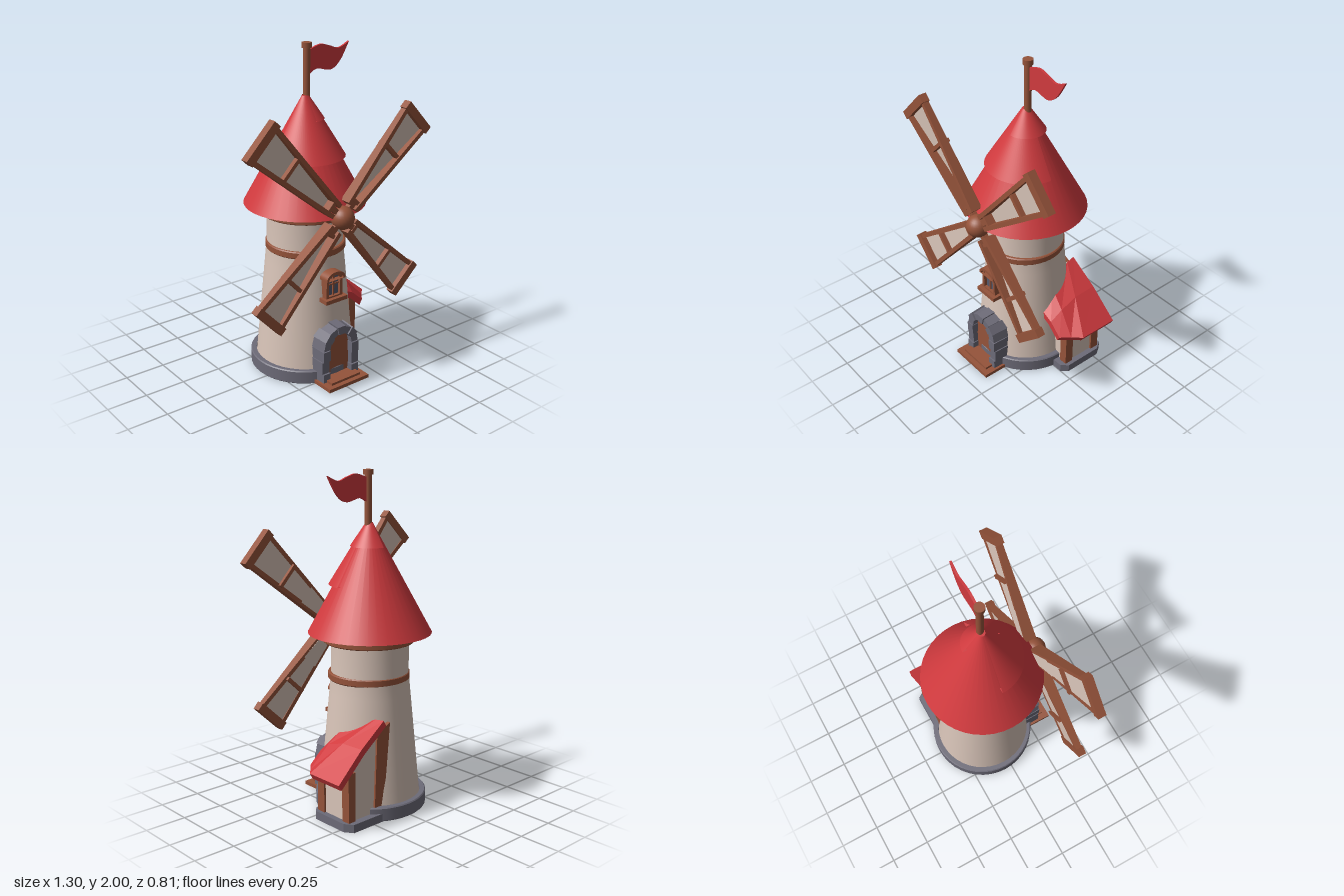
import * as THREE from 'three';

const mat = (name, color, side = THREE.FrontSide) => {
  const m = new THREE.MeshStandardMaterial({ color, side });
  m.name = name;
  return m;
};
const lerp = THREE.MathUtils.lerp;

export function createModel() {
  const plaster = mat('plaster', 0xd8c4b8, THREE.DoubleSide);
  const red = mat('red roof', 0xd03a3e, THREE.DoubleSide);
  const wood = mat('wood', 0x95533a);
  const stone = mat('stone', 0x6d6b78, THREE.DoubleSide);
  const glass = mat('window glass', 0x565a6c);

  const model = new THREE.Group();
  model.name = 'windmill';
  const CX = 0.016, CZ = -0.04;

  const add = (name, geo, material, x = 0, y = 0, z = 0, parent = model) => {
    const m = new THREE.Mesh(geo, material);
    m.name = name;
    m.position.set(x, y, z);
    parent.add(m);
    return m;
  };
  // box given by its limits
  const box = (name, material, x0, x1, y0, y1, z0, z1, parent = model) =>
    add(name, new THREE.BoxGeometry(x1 - x0, y1 - y0, z1 - z0), material,
      (x0 + x1) / 2, (y0 + y1) / 2, (z0 + z1) / 2, parent);
  // unit box with every corner moved by a rule
  const warpBox = (rule) => {
    const g = new THREE.BoxGeometry(1, 1, 1), p = g.attributes.position;
    for (let i = 0; i < p.count; i++) p.setXYZ(i, ...rule(p.getX(i), p.getY(i), p.getZ(i)));
    g.computeVertexNormals();
    return g;
  };
  const lathe = (pts) => new THREE.LatheGeometry(pts.map(([r, y]) => new THREE.Vector2(r, y)), 40);
  const extrude = (shape, depth) =>
    new THREE.ExtrudeGeometry(shape, { depth, bevelEnabled: false, curveSegments: 14 });
  const poly = (pts) => new THREE.Shape(pts.map(([x, y]) => new THREE.Vector2(x, y)));
  // door or window outline: straight sides and an arched top
  const arch = (w, y0, spring, rise, C = THREE.Shape) => {
    const s = new C();
    s.moveTo(-w, y0);
    s.lineTo(w, y0);
    s.lineTo(w, spring);
    s.absellipse(0, spring, w, rise, 0, Math.PI, false);
    s.lineTo(-w, y0);
    return s;
  };

  // Tower, open underneath
  add('tower', lathe([[0.308, 0.01], [0.3, 0.09], [0.266, 0.45], [0.242, 0.7], [0.231, 0.82], [0.23, 1.04]]),
    plaster, CX, 0, CZ);
  const ring = (r0, r1, y0, y1, b) =>
    lathe([[r0, y0], [r1 - b, y0], [r1 - b, y0], [r1, y0 + b], [r1, y0 + b], [r1, y1 - b], [r1, y1 - b],
      [r1 - b, y1], [r1 - b, y1], [r0, y1]]);
  add('towerFoot', ring(0.3, 0.334, 0, 0.085, 0.006), stone, CX, 0, CZ - 0.008);
  add('towerBelt', ring(0.22, 0.243, 0.78, 0.825, 0.006), wood, CX, 0, -0.032);
  add('roofCollar', ring(0.22, 0.273, 1.005, 1.065, 0.006), wood, CX, 0, -0.032);

  // Conical roof with overlapping partial layers
  const cone = (name, r, y0, rTop, yTop, start, length) =>
    add(name, new THREE.CylinderGeometry(rTop, r, yTop - y0, 40, 1, false, start, length),
      red, CX, (y0 + yTop) / 2, CZ);
  cone('roof', 0.365, 1.06, 0.018, 1.695, 0, Math.PI * 2);
  cone('roofMiddleLayer', 0.24, 1.345, 0.022, 1.7, -Math.PI / 2, Math.PI * 0.98);
  cone('roofTopLayer', 0.115, 1.565, 0.024, 1.7, 0, Math.PI);

  // Flagpole and flag
  add('flagpole', new THREE.CylinderGeometry(0.021, 0.021, 0.32, 16), wood, 0.03, 1.83, CZ);
  add('flagpoleCap', new THREE.CylinderGeometry(0.03, 0.03, 0.03, 16), wood, 0.03, 1.985, CZ);
  const flag = new THREE.Shape();
  flag.moveTo(0.04, 1.815);
  flag.splineThru([[0.1, 1.842], [0.2, 1.825], [0.27, 1.87], [0.335, 1.974]].map((p) => new THREE.Vector2(...p)));
  flag.splineThru([[0.26, 1.945], [0.19, 1.965], [0.125, 1.979], [0.04, 1.955]].map((p) => new THREE.Vector2(...p)));
  add('flag', extrude(flag, 0.014), red, 0, 0, CZ - 0.007);

  // Hub and four sails of uneven length
  const axle = add('axle', new THREE.CylinderGeometry(0.055, 0.055, 0.14, 20), wood, CX, 1.057, 0.25);
  axle.rotation.x = Math.PI / 2;
  add('hub', new THREE.SphereGeometry(0.069, 24, 16), wood, CX, 1.057, 0.315);
  [[43.2, 0.735], [135.8, 0.775], [222.9, 0.716], [313.5, 0.69]].forEach(([deg, len]) => {
    const blade = new THREE.Group();
    blade.name = 'blade';
    blade.position.set(CX, 1.057, 0);
    blade.rotation.z = THREE.MathUtils.degToRad(deg - 90);
    model.add(blade);
    const tipW = len * 0.14;
    const half = (t) => lerp(0.036, tipW, t);
    for (const s of [-1, 1]) {
      add('bladeRail', warpBox((x, y, z) => {
        const t = y + 0.5;
        return [s * half(t) + x * 0.026, lerp(0.08, len, t), z > 0 ? 0.337 : lerp(0.265, 0.3, t)];
      }), wood, 0, 0, 0, blade);
    }
    add('sailCloth', warpBox((x, y, z) => {
      const t = y + 0.5;
      return [x * 2 * half(t), lerp(0.11, len, t), lerp(0.268, 0.31, t) + z * 0.008];
    }), plaster, 0, 0, 0, blade);
    box('bladeTip', wood, -tipW - 0.02, tipW + 0.02, len - 0.025, len + 0.025, 0.295, 0.345, blade);
    for (const t of [0.06, 0.62]) {
      const y = lerp(0.08, len, t), w = half(t);
      box('bladeCrossbar', wood, -w, w, y - 0.011, y + 0.011, 0.27, 0.328, blade);
    }
    box('bladeSpoke', wood, -0.016, 0.016, 0.02, 0.13, 0.29, 0.325, blade);
  });

  // Doorway
  const door = new THREE.Group();
  door.name = 'doorway';
  door.position.x = CX;
  model.add(door);
  add('door', extrude(arch(0.088, 0.02, 0.235, 0.09), 0.06), wood, 0, 0, 0.222, door);
  const N = 7, jitter = [0, 0.006, -0.004, 0.004, -0.003, 0.005, 0];
  for (let i = 0; i < N; i++) {
    add('archStone', warpBox((x, y, z) => {
      const a = Math.PI * (1 - (i + 0.5 + x * 0.97) / N);
      const r = y > 0 ? 0.138 + jitter[i] - (z > 0 ? 0.008 : 0) : 0.082;
      return [Math.cos(a) * r, 0.235 + Math.sin(a) * r, z > 0 ? 0.318 + jitter[i] : 0.2];
    }), stone, 0, 0, 0, door);
  }
  for (const s of [-1, 1]) {
    [[0, 0.085], [0.085, 0.165], [0.165, 0.235]].forEach(([y0, y1], i) => {
      const e = (i % 2) * 0.008;
      add('jambStone', warpBox((x, y, z) => [
        s * 0.108 + x * (z > 0 ? 0.052 : 0.06) + s * e * 0.5,
        lerp(y0, y1 - 0.003, y + 0.5), z > 0 ? 0.322 - e : 0.18]), stone, 0, 0, 0, door);
    });
  }
  box('lowerStep', wood, -0.15, 0.15, 0.005, 0.027, 0.24, 0.4, door);
  box('upperStep', wood, -0.11, 0.11, 0.027, 0.042, 0.24, 0.37, door);

  // Arched window
  const win = new THREE.Group();
  win.name = 'window';
  win.position.x = CX;
  model.add(win);
  const frame = arch(0.06, 0.535, 0.655, 0.036);
  frame.holes.push(arch(0.042, 0.545, 0.648, 0.026, THREE.Path));
  add('windowFrame', extrude(frame, 0.065), wood, 0, 0, 0.185, win);
  add('windowPane', extrude(arch(0.045, 0.54, 0.648, 0.028), 0.009), glass, 0, 0, 0.222, win);
  box('windowMullion', wood, -0.005, 0.005, 0.54, 0.672, 0.22, 0.24, win);
  box('windowBar', wood, -0.042, 0.042, 0.612, 0.62, 0.22, 0.238, win);
  box('windowSill', wood, -0.08, 0.08, 0.51, 0.535, 0.18, 0.275, win);
  const hood = arch(0.068, 0.65, 0.658, 0.044);
  hood.holes.push(arch(0.054, 0.651, 0.656, 0.028, THREE.Path));
  add('windowHood', extrude(hood, 0.07), wood, 0, 0, 0.195, win);

  // Side shed: foot, walls and posts
  const foot = extrude(poly([[0.2, 0], [0.41, 0], [0.445, 0.04], [0.445, 0.28], [0.41, 0.332], [0.15, 0.332]]), 0.05);
  foot.rotateX(-Math.PI / 2);
  add('shedFoot', foot, stone);
  add('shedWall', extrude(poly([[0.14, 0.03], [0.41, 0.03], [0.41, 0.34], [0.26, 0.47], [0.14, 0.57]]), 0.245),
    plaster, 0, 0, -0.288);
  for (const z of [-0.06, -0.273]) box('shedPost', wood, 0.37, 0.422, 0.045, 0.345, z - 0.028, z + 0.028);
  add('shedBackPost', extrude(poly([[0.15, 0.045], [0.22, 0.045], [0.2, 0.53], [0.1, 0.58]]), 0.03), wood, 0, 0, -0.3);

  // Shed roof: slab between a ridge row on the tower and an eave row
  const ridge = [[0.16, 0.605, -0.31], [0.17, 0.6, -0.25], [0.235, 0.535, -0.07], [0.265, 0.42, 0.03]];
  const eave = [[0.52, 0.315, -0.328], [0.52, 0.315, -0.08], [0.47, 0.313, -0.025], [0.425, 0.312, 0.03]];
  const rows = [0, 0.5, 1].map((t) => ridge.map((r, i) =>
    r.map((v, k) => lerp(v, eave[i][k], t) + (k === 1 && t === 0.5 ? 0.018 : 0))));
  const tri = [];
  const quad = (a, b, c, d) => tri.push(...a, ...b, ...c, ...a, ...c, ...d);
  const low = (p) => [p[0] - 0.02, p[1] - 0.035, p[2]];
  for (let j = 0; j < 2; j++) {
    for (let i = 0; i < 3; i++) {
      const [a, b, c, d] = [rows[j][i], rows[j][i + 1], rows[j + 1][i + 1], rows[j + 1][i]];
      quad(a, b, c, d);
      quad(low(d), low(c), low(b), low(a));
      if (j === 1) quad(d, c, low(c), low(d));
    }
    quad(rows[j][0], rows[j + 1][0], low(rows[j + 1][0]), low(rows[j][0]));
    quad(rows[j + 1][3], rows[j][3], low(rows[j][3]), low(rows[j + 1][3]));
  }
  const slab = new THREE.BufferGeometry();
  slab.setAttribute('position', new THREE.Float32BufferAttribute(tri, 3));
  slab.computeVertexNormals();
  add('shedRoof', slab, red);

  return model;
}
